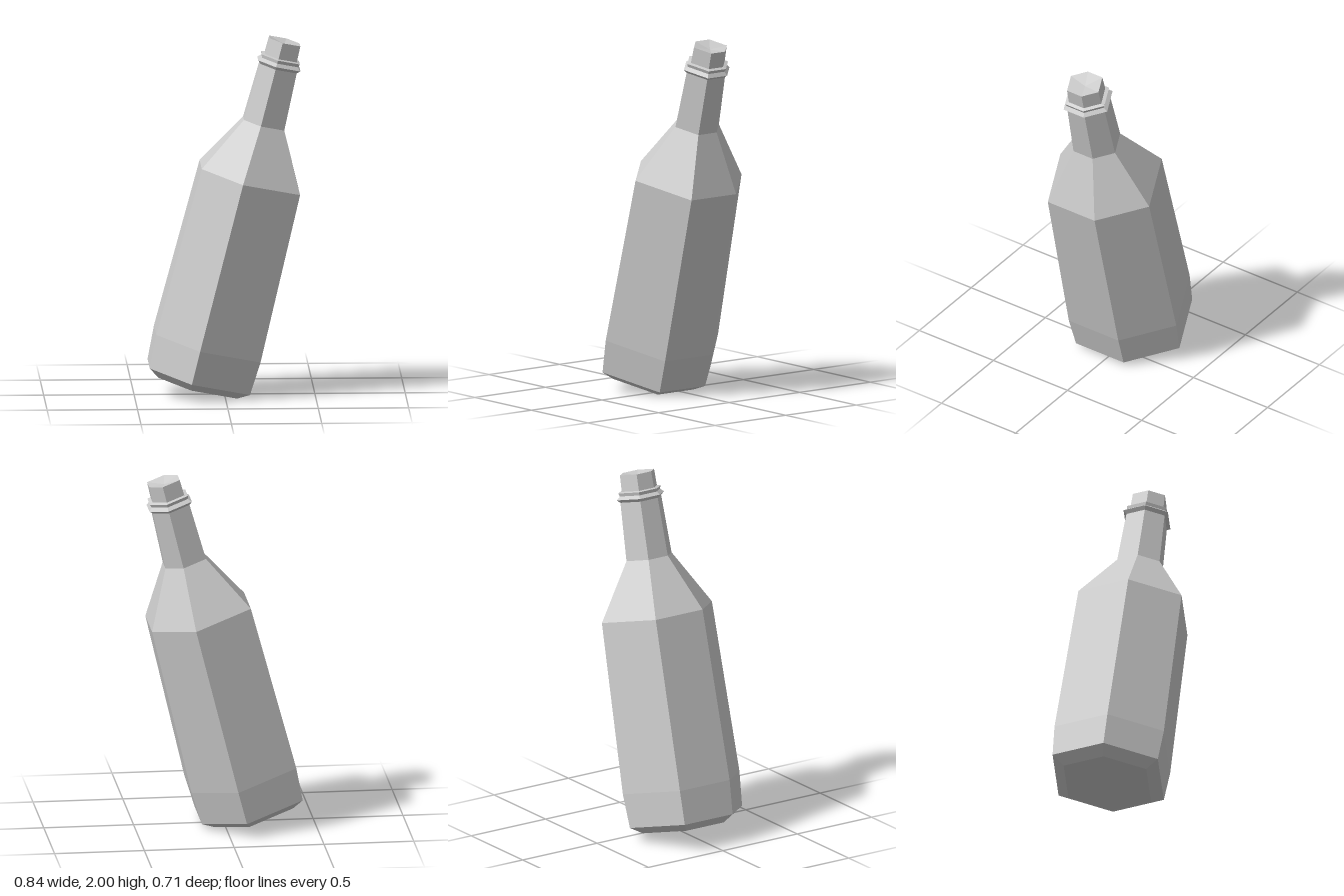
import * as THREE from 'three';

// Slightly irregular six-sided cross-section (x, z), ordered from +x towards +z
const HALF = [[0.279, -0.12], [0.279, 0.195], [-0.052, 0.335]];
const SECTION = [...HALF, ...HALF.map(([x, z]) => [-x, -z])];

// Skin stacked rings [height, scale]; a scale of 0 closes the end at a point
function loft(name, rings, material) {
  const pos = [];
  const n = SECTION.length;
  const point = ([y, s], i) => {
    const [x, z] = SECTION[i % n];
    return [x * s, y, z * s];
  };
  for (let r = 0; r < rings.length - 1; r++) {
    const lo = rings[r], hi = rings[r + 1];
    for (let i = 0; i < n; i++) {
      const a = point(lo, i), b = point(lo, i + 1);
      const c = point(hi, i + 1), d = point(hi, i);
      if (hi[1] > 0) pos.push(...a, ...d, ...c);
      if (lo[1] > 0) pos.push(...a, ...c, ...b);
    }
  }
  const geometry = new THREE.BufferGeometry();
  geometry.setAttribute('position', new THREE.Float32BufferAttribute(pos, 3));
  geometry.computeVertexNormals();
  const mesh = new THREE.Mesh(geometry, material);
  mesh.name = name;
  return mesh;
}

export function createModel() {
  const model = new THREE.Group();
  model.name = 'bottle';
  const material = new THREE.MeshStandardMaterial({ color: 0xcccccc, flatShading: true });

  const tilted = new THREE.Group();
  tilted.name = 'tiltedBottle';
  tilted.rotation.z = THREE.MathUtils.degToRad(-14.2);
  model.add(tilted);

  // Base, body, shoulder and neck
  tilted.add(loft('bottleBody', [
    [0, 0], [0, 0.8], [0.043, 1.02], [0.235, 1.06],
    [1.195, 1], [1.507, 0.41], [1.833, 0.37],
  ], material));

  // Flared collar with a narrow groove and upper lip
  tilted.add(loft('collar', [
    [1.833, 0.37], [1.85, 0.43], [1.868, 0.365], [1.886, 0.385], [1.892, 0.31],
  ], material));

  // Stopper with a shallow dent in its top
  tilted.add(loft('stopper', [
    [1.885, 0.32], [1.983, 0.31], [1.965, 0],
  ], material));

  // Stand on the ground, centred
  model.updateMatrixWorld(true);
  const box = new THREE.Box3().setFromObject(model, true);
  const centre = box.getCenter(new THREE.Vector3());
  tilted.position.set(-centre.x, -box.min.y, -centre.z);
  return model;
}
